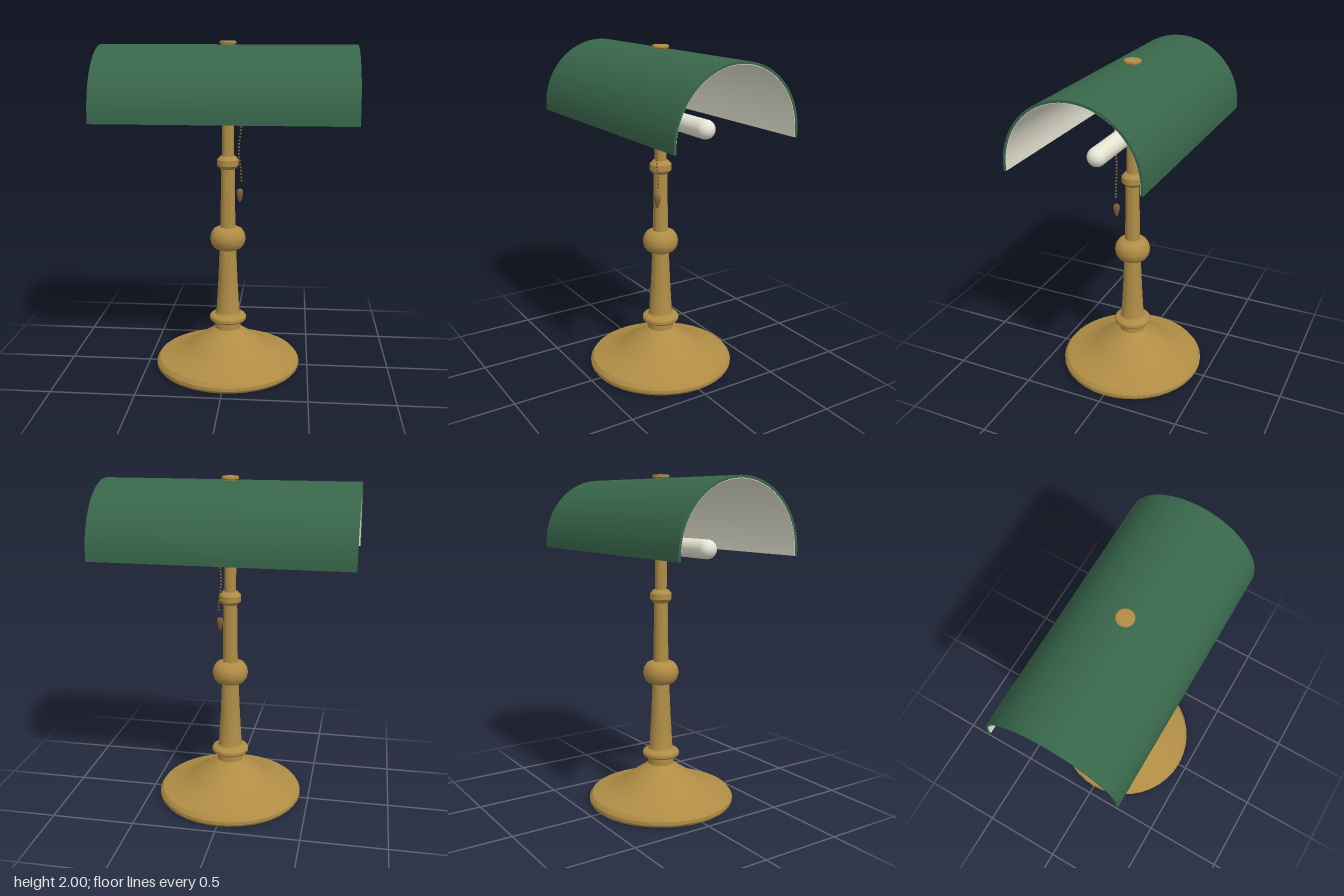
import * as THREE from 'three';
import { toCreasedNormals } from 'three/addons/utils/BufferGeometryUtils.js';

const material = (name, color) => {
  const m = new THREE.MeshStandardMaterial({ color });
  m.name = name;
  return m;
};

export function createModel() {
  const brass = material('brass', 0xb08d45);
  const agedBrass = material('aged brass', 0x7f5f35);
  const green = material('green enamel', 0x38674b);
  const cream = material('cream white', 0xe8e6d4);

  const lamp = new THREE.Group();
  lamp.name = 'deskLamp';

  const add = (name, geometry, mat, x = 0, y = 0, z = 0) => {
    const mesh = new THREE.Mesh(geometry, mat);
    mesh.name = name;
    mesh.position.set(x, y, z);
    lamp.add(mesh);
    return mesh;
  };
  // Profiles are [radius, height] pairs running from bottom to top
  const lathe = (profile, segments = 32) => toCreasedNormals(
    new THREE.LatheGeometry(profile.map(([r, y]) => new THREE.Vector2(r, y)), segments), 0.55);

  // Flared base with a hollow underside
  add('base', lathe([
    [0, 0.22], [0.06, 0.215], [0.13, 0.185], [0.26, 0.088], [0.41, 0.045], [0.42, 0],
    [0.437, 0], [0.447, 0.015], [0.447, 0.035], [0.43, 0.058], [0.36, 0.078], [0.28, 0.102],
    [0.235, 0.135], [0.148, 0.195], [0.11, 0.22], [0.08, 0.243], [0.08, 0.29]], 40), brass);

  // Turned column
  add('baseCollar', lathe([
    [0, 0.283], [0.085, 0.283], [0.105, 0.29], [0.113, 0.3], [0.113, 0.317], [0.105, 0.327],
    [0.08, 0.335], [0.074, 0.345], [0, 0.345]]), brass);
  add('lowerColumn', lathe([[0.078, 0.33], [0.071, 0.36], [0.06, 0.55], [0.051, 0.76]]), brass);
  add('columnKnob', lathe([
    [0, 0.75], [0.06, 0.75], [0.085, 0.762], [0.102, 0.787], [0.109, 0.82], [0.102, 0.853],
    [0.085, 0.878], [0.06, 0.89], [0, 0.89]]), brass);
  add('upperColumn', lathe([[0.046, 0.88], [0.041, 1.26]]), brass);
  add('upperCollar', lathe([
    [0, 1.245], [0.045, 1.248], [0.065, 1.27], [0.065, 1.305], [0.045, 1.327], [0, 1.33]]), brass);
  add('neck', lathe([[0.035, 1.32], [0.035, 1.53]]), brass);

  // Sideways socket sleeve and the tubular bulb running through it
  add('socket', lathe([
    [0.052, -0.086], [0.074, -0.086], [0.08, -0.08], [0.08, 0.08], [0.074, 0.086],
    [0.052, 0.086]]), brass, 0, 1.59).rotation.z = Math.PI / 2;
  add('bulb', new THREE.CapsuleGeometry(0.054, 0.91, 10, 28), cream, 0, 1.59).rotation.z = Math.PI / 2;

  // Rod that carries the shade, with a cap on top
  add('shadeRod', new THREE.CylinderGeometry(0.014, 0.014, 0.33, 16), brass, 0, 1.815);
  add('rodNut', new THREE.CylinderGeometry(0.02, 0.02, 0.025, 16), brass, 0, 1.955);
  add('finial', lathe([
    [0, 1.965], [0.04, 1.965], [0.04, 1.98], [0.049, 1.985], [0.049, 1.995], [0.043, 2], [0, 2]]), brass);

  // Half-round shade with straight lower edges
  const arch = (outer, inner, drop, length) => {
    const s = new THREE.Shape();
    s.moveTo(outer, -drop);
    s.lineTo(outer, 0);
    s.absarc(0, 0, outer, 0, Math.PI, false);
    s.lineTo(-outer, -drop);
    s.lineTo(-inner, -drop);
    s.lineTo(-inner, 0);
    s.absarc(0, 0, inner, Math.PI, 0, true);
    s.lineTo(inner, -drop);
    const g = new THREE.ExtrudeGeometry(s, { depth: length, bevelEnabled: false, curveSegments: 40 });
    g.translate(0, 0, -length / 2);
    g.rotateY(Math.PI / 2);
    return toCreasedNormals(g, 0.6);
  };
  add('shade', arch(0.391, 0.377, 0.033, 1.49), green, 0, 1.588);
  add('shadeLining', arch(0.378, 0.374, 0.031, 1.484), cream, 0, 1.588);

  // Beaded pull chain with a teardrop weight
  const bead = new THREE.SphereGeometry(0.0065, 10, 8);
  const chain = new THREE.Group();
  chain.name = 'pullChain';
  for (let i = 0; i < 19; i++) {
    const m = new THREE.Mesh(bead, agedBrass);
    m.name = 'chainBead';
    m.position.set(0.078 + 0.008 * Math.cos(i * 0.36), 1.55 - i * 0.02, 0.07);
    chain.add(m);
  }
  lamp.add(chain);
  add('chainPull', lathe([
    [0, 1.06], [0.007, 1.065], [0.015, 1.09], [0.02, 1.115], [0.019, 1.13], [0.012, 1.14],
    [0, 1.142]], 16), agedBrass, 0.077, 0, 0.07);

  return lamp;
}
